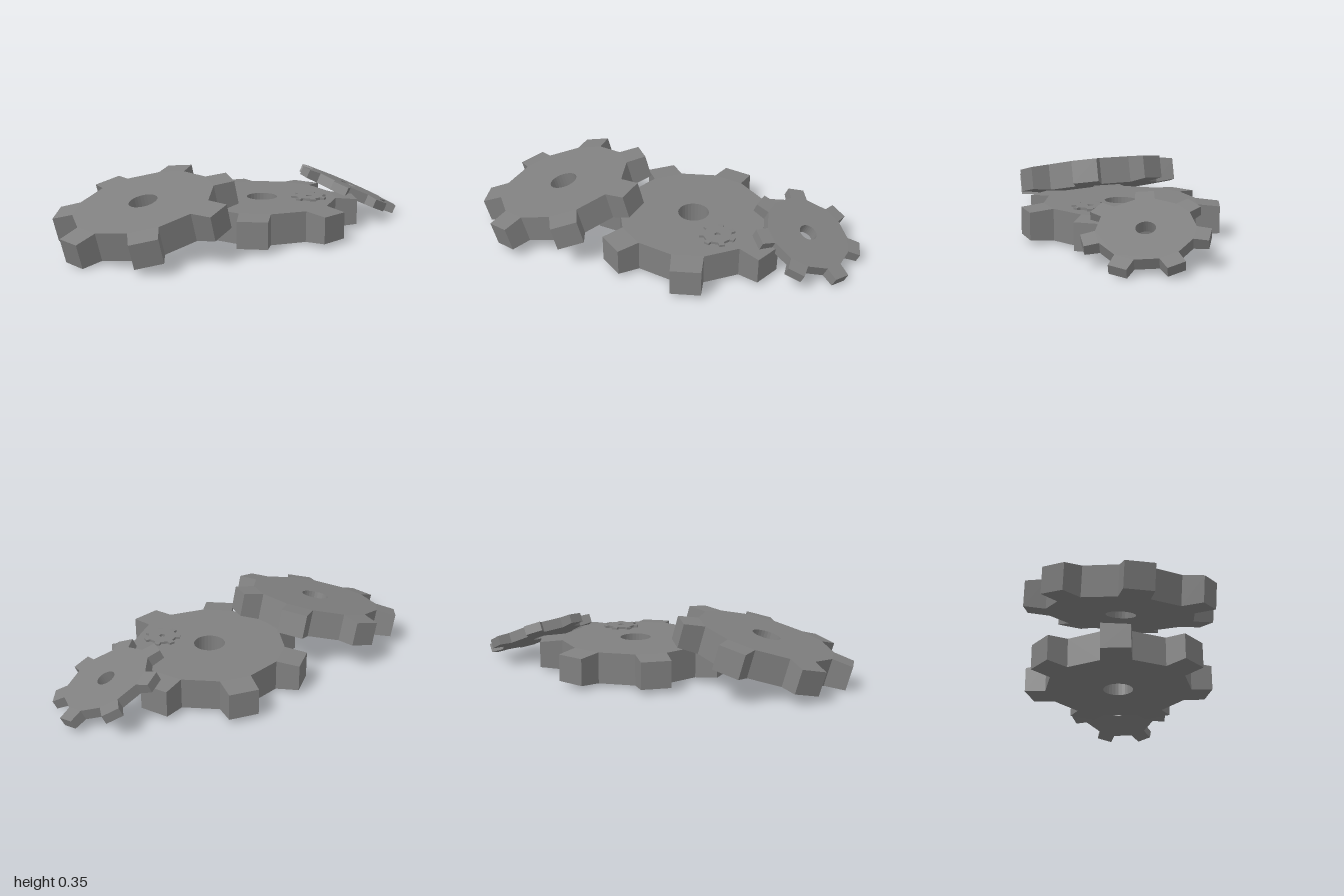
import * as THREE from 'three';

const TEETH = 7;
const STEP = (Math.PI * 2) / TEETH;
const ROOT_R = 0.39, TIP_R = 0.506, HOLE_R = 0.08;
const ROOT_HALF = 0.206, TIP_HALF = 0.15; // half angles of a tooth
const BODY_H = 0.158, TIP_H = 0.136;

const material = new THREE.MeshStandardMaterial({ color: 0x808080, flatShading: true });

// Flat body with a round bore, its corners at the roots of the teeth
function bodyGeometry() {
  const points = [];
  for (let i = 0; i < TEETH; i++) {
    for (const side of [-1, 1]) {
      const a = i * STEP + side * ROOT_HALF;
      points.push(new THREE.Vector2(ROOT_R * Math.cos(a), ROOT_R * Math.sin(a)));
    }
  }
  const shape = new THREE.Shape(points);
  shape.holes.push(new THREE.Path().absarc(0, 0, HOLE_R, 0, Math.PI * 2, true));
  const geometry = new THREE.ExtrudeGeometry(shape, { depth: BODY_H, bevelEnabled: false, curveSegments: 14 });
  return geometry.translate(0, 0, -BODY_H / 2).rotateX(-Math.PI / 2);
}

// Tooth pointing along +x, narrower and thinner at its tip
function toothGeometry() {
  const geometry = new THREE.BoxGeometry(1, 1, 1);
  const p = geometry.attributes.position;
  for (let i = 0; i < p.count; i++) {
    const tip = p.getX(i) > 0;
    const r = tip ? TIP_R : ROOT_R;
    const a = Math.sign(p.getZ(i)) * (tip ? TIP_HALF : ROOT_HALF);
    p.setXYZ(i, r * Math.cos(a), p.getY(i) * (tip ? TIP_H : BODY_H), r * Math.sin(a));
  }
  geometry.computeVertexNormals();
  return geometry;
}

export function createModel() {
  const model = new THREE.Group();
  model.name = 'gears';
  const body = bodyGeometry();
  const tooth = toothGeometry();

  // size scales the outline and thick the height; spin turns the gear about
  // its own axis (degrees); axis is the way its top faces
  function addGear(name, size, thick, position, spin, axis) {
    const gear = new THREE.Group();
    gear.name = name;
    const bodyMesh = new THREE.Mesh(body, material);
    bodyMesh.name = 'gearBody';
    gear.add(bodyMesh);
    for (let i = 0; i < TEETH; i++) {
      const mesh = new THREE.Mesh(tooth, material);
      mesh.name = 'gearTooth';
      mesh.rotation.y = i * STEP;
      gear.add(mesh);
    }
    const up = new THREE.Vector3(0, 1, 0);
    const tilt = new THREE.Quaternion().setFromUnitVectors(up, new THREE.Vector3(...axis).normalize());
    const turn = new THREE.Quaternion().setFromAxisAngle(up, THREE.MathUtils.degToRad(spin));
    gear.quaternion.copy(tilt.multiply(turn));
    gear.position.set(...position);
    gear.scale.set(size, thick, size);
    model.add(gear);
  }

  addGear('largeGear', 1, 1, [0.035, 0.097, -0.142], 0, [0, 1, 0]);
  addGear('frontGear', 0.9, 0.9, [-0.088, 0.181, 0.547], -91.5, [0, 0.967, 0.254]);
  addGear('backGear', 0.578, 0.35, [0.147, 0.145, -0.721], 92.5, [0.21, 0.91, -0.345]);
  addGear('tinyGear', 0.185, 0.08, [0.247, 0.187, -0.278], -86, [0, 1, 0]);

  return model;
}
